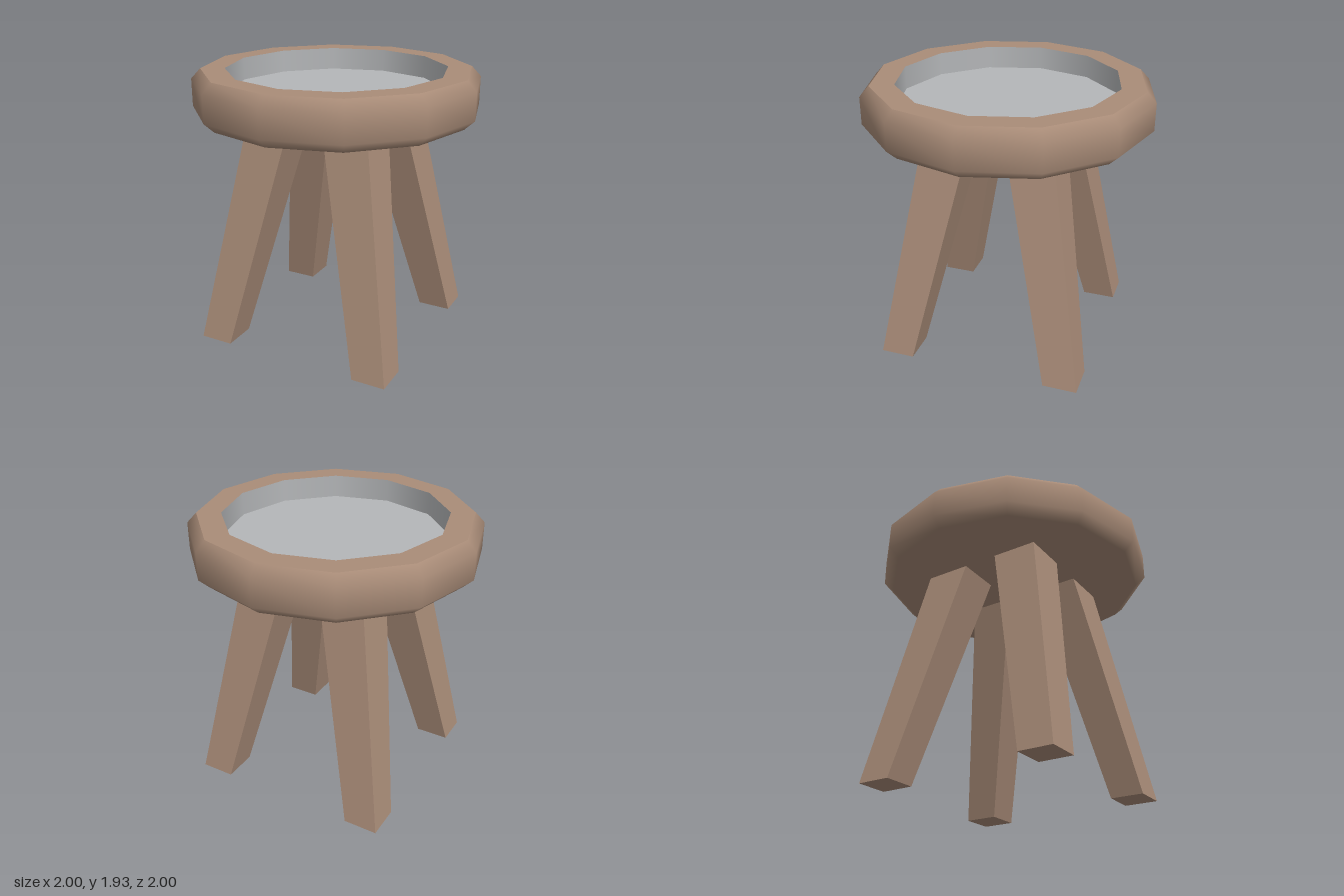
import * as THREE from 'three';

const SIDES = 12;
const wood = new THREE.MeshStandardMaterial({ color: 0xa98c78 });
wood.name = 'wood';
const grey = new THREE.MeshStandardMaterial({ color: 0xb4b6b8 });
grey.name = 'greyInlay';

// Turned surface from [radius, y] pairs, smooth along its profile
function turned(name, profile, material) {
  const points = profile.map(([r, y]) => new THREE.Vector2(r, y));
  const mesh = new THREE.Mesh(new THREE.LatheGeometry(points, SIDES), material);
  mesh.name = name;
  return mesh;
}

// Splayed leg: a box whose ends are moved and resized
function leg(name, sx, sz) {
  const geo = new THREE.BoxGeometry(1, 1, 1);
  const pos = geo.attributes.position;
  for (let i = 0; i < pos.count; i++) {
    const top = pos.getY(i) > 0;
    const centre = top ? 0.287 : 0.61;
    const width = top ? 0.325 : 0.24;
    pos.setXYZ(i, sx * centre + pos.getX(i) * width, top ? 1.61 : 0, sz * centre + pos.getZ(i) * width);
  }
  const flat = geo.toNonIndexed();
  flat.computeVertexNormals();
  const mesh = new THREE.Mesh(flat, wood);
  mesh.name = name;
  return mesh;
}

export function createModel() {
  const model = new THREE.Group();
  model.name = 'stool';

  // Seat: rounded body, flat rim and a sunken grey dish
  const seat = new THREE.Group();
  seat.name = 'seat';
  seat.add(
    turned('seatBody', [[0, 1.605], [0.93, 1.605], [1, 1.67], [1, 1.86], [0.935, 1.93]], wood),
    turned('seatRim', [[0.935, 1.93], [0.768, 1.93]], wood),
    turned('dishWall', [[0.768, 1.93], [0.768, 1.77]], grey),
    turned('dishFloor', [[0.768, 1.77], [0, 1.77]], grey)
  );
  model.add(seat);

  // Four legs
  for (const [sx, side] of [[1, 'Left'], [-1, 'Right']]) {
    for (const [sz, end] of [[1, 'front'], [-1, 'back']]) {
      model.add(leg(`${end}${side}Leg`, sx, sz));
    }
  }
  return model;
}
